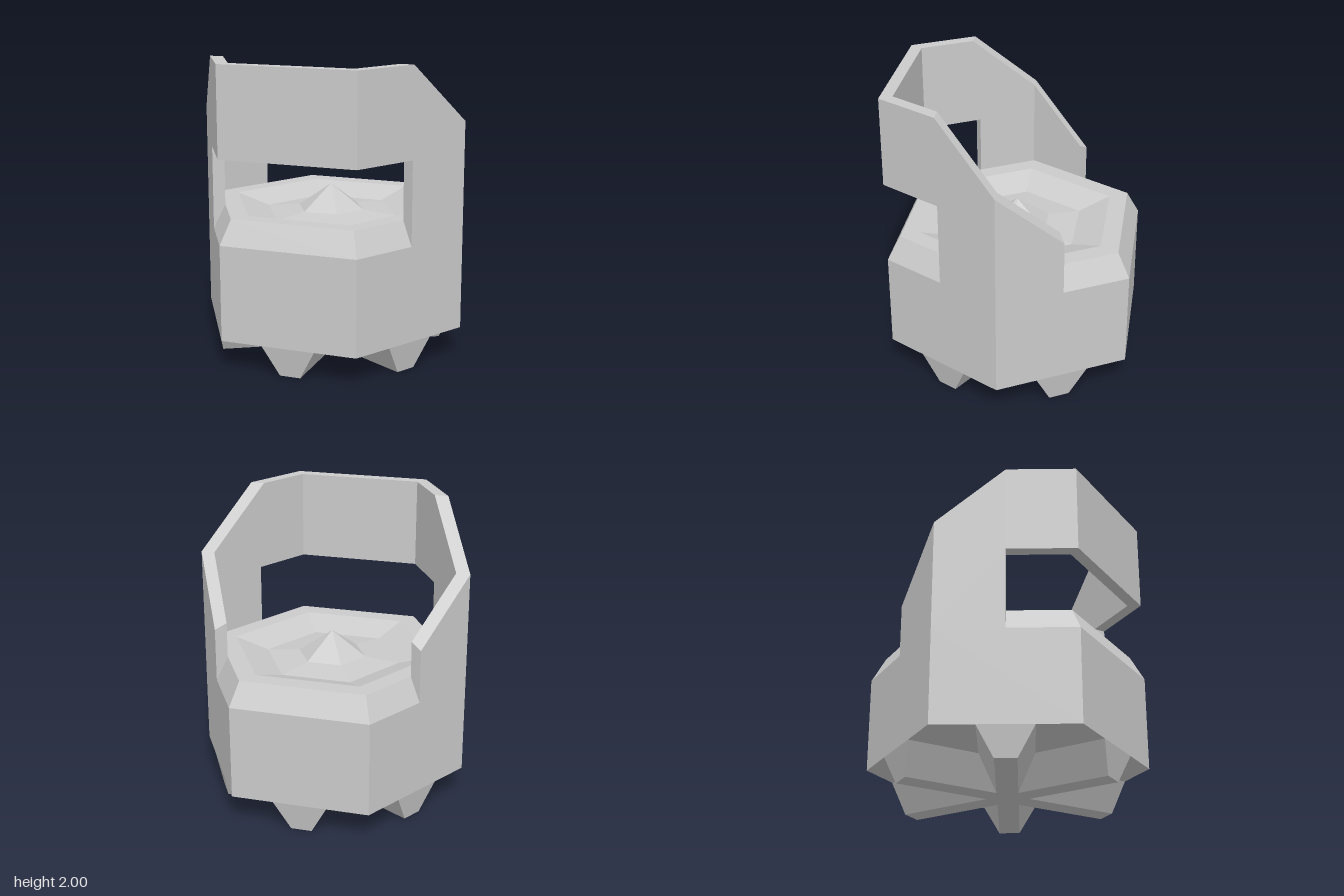
import * as THREE from 'three';

const K = 2 / Math.sqrt(3); // hexagon corner radius / flat-side distance
const OUT = 0.8, IN = 0.72; // flat-side distances of the wall's two skins
const material = new THREE.MeshStandardMaterial({ color: 0xcccccc, flatShading: true });

// Solid wall panel. Points are [u, y, inner u, inner y], counter-clockwise from outside;
// place(u, y, distance) puts a point on a skin; edges listed in joints stay uncapped.
function panel(name, points, place, joints, mirrored = false) {
  const n = points.length, pos = [];
  const outer = points.map(([u, y]) => place(u, y, OUT));
  const inner = points.map(([u, y, ui = u, yi = y]) => place(ui, yi, IN));
  const tri = (a, b, c) => (mirrored ? [a, c, b] : [a, b, c]).forEach((p) => {
    pos.push(mirrored ? -p[0] : p[0], p[1], p[2]);
  });
  const outline = points.map(([u, y]) => new THREE.Vector2(u, y));
  for (const [a, b, c] of THREE.ShapeUtils.triangulateShape(outline, [])) {
    tri(outer[a], outer[b], outer[c]);
    tri(inner[a], inner[c], inner[b]);
  }
  for (let i = 0; i < n; i++) {
    if (joints.includes(i)) continue;
    const j = (i + 1) % n;
    tri(outer[i], inner[i], inner[j]);
    tri(outer[i], inner[j], outer[j]);
  }
  const geometry = new THREE.BufferGeometry();
  geometry.setAttribute('position', new THREE.Float32BufferAttribute(pos, 3));
  geometry.computeVertexNormals();
  const mesh = new THREE.Mesh(geometry, material);
  mesh.name = name;
  return mesh;
}

export function createModel() {
  const model = new THREE.Group();
  model.name = 'hexagonalTurret';

  // Hexagonal body: bevelled rim, shallow basin and central peak
  const profile = [[0, 0.2], [0.8, 0.2], [0.8, 0.84], [0.72, 1], [0.6, 1],
    [0.4, 0.93], [0.2, 0.955], [0, 1.12]].map(([r, y]) => new THREE.Vector2(r * K, y));
  const body = new THREE.Mesh(new THREE.LatheGeometry(profile, 6, Math.PI / 6), material);
  body.name = 'body';
  model.add(body);

  // Three crossing tapered bars make the six feet
  for (let i = 0; i < 3; i++) {
    const geometry = new THREE.BoxGeometry(0.36, 0.2, 1.6);
    const p = geometry.attributes.position;
    for (let v = 0; v < p.count; v++) {
      if (p.getY(v) < 0) p.setXYZ(v, Math.sign(p.getX(v)) * 0.07, -0.1, Math.sign(p.getZ(v)) * 0.76);
    }
    geometry.computeVertexNormals();
    const bar = new THREE.Mesh(geometry, material);
    bar.name = 'footBar' + (i + 1);
    bar.position.y = 0.1;
    bar.rotation.y = i * Math.PI / 3;
    model.add(bar);
  }

  // Front wall above the window
  const c = OUT * K / 2, ci = IN * K / 2;
  model.add(panel('frontWall',
    [[-c, 1.4, -ci], [c, 1.4, ci], [c, 2, ci], [-c, 2, -ci]],
    (u, y, d) => [u, y, d], [1, 3]));

  // Side walls; u runs from front to back
  const frontSide = [[-0.8, 1.4, -0.72], [-0.4, 1.4, -0.36], [-0.4, 0.84, -0.36], [0, 0.84],
    [0, 1.6], [-0.4, 2], [-0.8, 2, -0.72]];
  const backSide = [[0, 0.84], [0.4, 0.84, 0.36], [0.4, 1.2, 0.36, 1.24], [0, 1.6]];
  const placeSide = (u, y, d) => [d * K - Math.abs(u) / Math.sqrt(3), y, -u];
  for (const [side, mirrored] of [['left', false], ['right', true]]) {
    model.add(panel(side + 'FrontSideWall', frontSide, placeSide, [3, 6], mirrored));
    model.add(panel(side + 'BackSideWall', backSide, placeSide, [3], mirrored));
  }
  return model;
}
